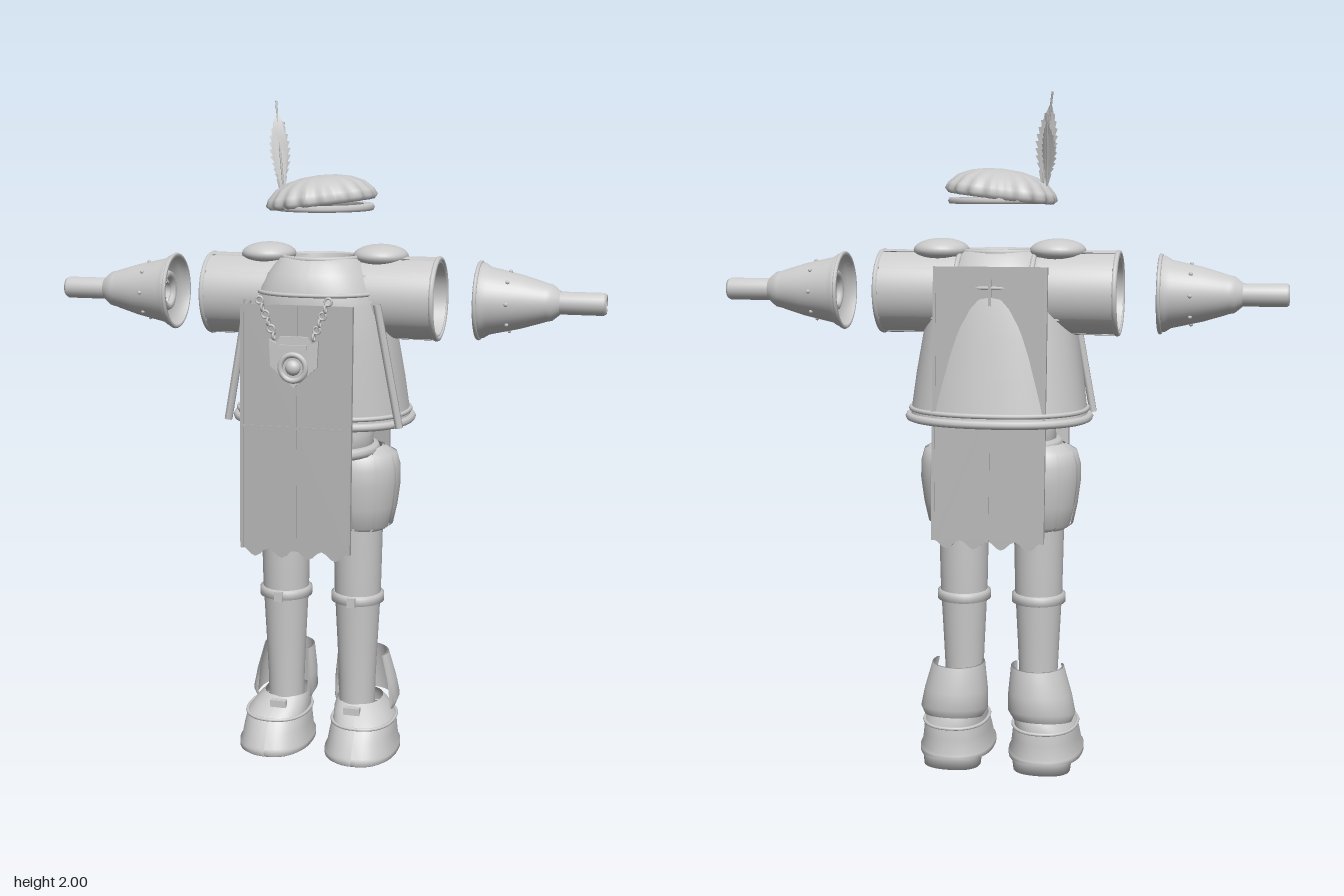
import * as THREE from 'three';

const cloth = new THREE.MeshStandardMaterial({ color: 0xcacaca, side: THREE.DoubleSide });
cloth.name = 'light grey';
const panel = new THREE.MeshStandardMaterial({ color: 0xb4b4b4, side: THREE.DoubleSide });
panel.name = 'mid grey';

const V = (x, y, z) => new THREE.Vector3(x, y, z);

function add(parent, name, geo, x = 0, y = 0, z = 0, mat = cloth) {
  const m = new THREE.Mesh(geo, mat);
  m.name = name;
  m.position.set(x, y, z);
  parent.add(m);
  return m;
}

function lathe(profile, seg = 40, start = 0, len = Math.PI * 2) {
  return new THREE.LatheGeometry(profile.map(p => new THREE.Vector2(p[0], p[1])), seg, start, len);
}

// Skin over elliptical rings: [y, centreZ, radiusX, radiusZ, centreX]
function loft(rings, n = 48, power = 2) {
  const pos = [], idx = [];
  const sq = v => Math.sign(v) * Math.abs(v) ** (2 / power);
  rings.forEach(([y, cz, rx, rz, cx = 0]) => {
    for (let i = 0; i <= n; i++) {
      const a = (i / n) * Math.PI * 2;
      pos.push(cx + rx * sq(Math.sin(a)), y, cz + rz * sq(Math.cos(a)));
    }
  });
  for (let r = 0; r < rings.length - 1; r++) {
    for (let i = 0; i < n; i++) {
      const a = r * (n + 1) + i, b = a + n + 1;
      idx.push(a, a + 1, b, a + 1, b + 1, b);
    }
  }
  const g = new THREE.BufferGeometry();
  g.setAttribute('position', new THREE.Float32BufferAttribute(pos, 3));
  g.setIndex(idx);
  g.computeVertexNormals();
  return g;
}

function ringTube(y, cz, rx, rz, r, power = 2) {
  const pts = [];
  const sq = v => Math.sign(v) * Math.abs(v) ** (2 / power);
  for (let i = 0; i < 40; i++) {
    const a = (i / 40) * Math.PI * 2;
    pts.push(V(rx * sq(Math.sin(a)), y, cz + rz * sq(Math.cos(a))));
  }
  return new THREE.TubeGeometry(new THREE.CatmullRomCurve3(pts, true), 80, r, 8, true);
}

// Raised strips around an axis, leaving narrow slits
function strips(parent, name, profile, count, gap) {
  const step = (Math.PI * 2) / count;
  for (let i = 0; i < count; i++) add(parent, name, lathe(profile, 5, i * step + gap / 2, step - gap));
}

function group(parent, name, x, y, z) {
  const g = new THREE.Group();
  g.name = name;
  g.position.set(x, y, z);
  parent.add(g);
  return g;
}

function addTorso(root) {
  add(root, 'tunic', loft([
    [1.07, -0.07, 0.262, 0.205], [1.2, -0.06, 0.245, 0.195], [1.32, -0.051, 0.225, 0.186],
    [1.42, -0.043, 0.2, 0.177], [1.47, -0.04, 0.18, 0.168], [1.51, -0.037, 0.155, 0.148],
    [1.54, -0.035, 0.13, 0.122], [1.555, -0.035, 0.113, 0.106], [1.555, -0.035, 0.1, 0.093],
    [1.48, -0.035, 0.1, 0.093]], 56, 2.3));
  add(root, 'hemTrim', ringTube(1.073, -0.07, 0.265, 0.207, 0.012, 2.3));
  add(root, 'hemTrimUpper', ringTube(1.097, -0.069, 0.26, 0.204, 0.007, 2.3));
  add(root, 'collarTrim', ringTube(1.552, -0.035, 0.112, 0.105, 0.008));
  add(root, 'yokeTrim', ringTube(1.455, -0.041, 0.187, 0.172, 0.006, 2.3));
  for (const s of [-1, 1]) {
    const path = new THREE.LineCurve3(V(s * 0.195, 1.43, 0.075), V(s * 0.262, 1.07, 0.065));
    add(root, 'sideTrim', new THREE.TubeGeometry(path, 1, 0.012, 6));
  }
  // Hips, belt and pouch
  add(root, 'hips', loft([[0.86, -0.05, 0.03, 0.04], [0.9, -0.05, 0.12, 0.09], [0.98, -0.02, 0.165, 0.135],
    [1.035, -0.025, 0.16, 0.14], [1.08, -0.025, 0.15, 0.135]]));
  add(root, 'belt', ringTube(0.985, -0.02, 0.165, 0.155, 0.017));
  const pouch = add(root, 'pouch', new THREE.BoxGeometry(0.09, 0.16, 0.06), -0.12, 0.92, 0.115);
  pouch.rotation.set(0.1, -0.7, 0);
  const flap = add(root, 'pouchFlap', new THREE.BoxGeometry(0.1, 0.06, 0.07), -0.12, 0.985, 0.118);
  flap.rotation.copy(pouch.rotation);
}

// Hanging panel with a wavy lower edge, seams and border
function addTabard(root, name, top, bottom, y0, z0, z1) {
  const h = top - bottom, w = 0.16;
  const g = group(root, name, 0, top, z0);
  g.rotation.x = Math.atan2(z0 - z1, h);
  const s = new THREE.Shape();
  s.moveTo(-w, 0);
  s.lineTo(-w, -h + 0.015);
  for (let i = 1; i <= 24; i++) {
    const x = -w + (2 * w * i) / 24;
    s.lineTo(x, -h + 0.013 * Math.cos((i / 24) * Math.PI * 8));
  }
  s.lineTo(w, 0);
  add(g, 'cloth', new THREE.ExtrudeGeometry(s, { depth: 0.008, bevelEnabled: false }), 0, 0, -0.004, panel);
  for (const x of [-w, 0, w]) add(g, 'seam', new THREE.BoxGeometry(0.009, h - 0.01, 0.014), x, -h / 2 + 0.005, 0, panel);
  add(g, 'crossSeam', new THREE.BoxGeometry(2 * w, 0.008, 0.014), 0, y0 - top, 0, panel);
}

function addArm(root, s) {
  const arm = group(root, s > 0 ? 'leftArm' : 'rightArm', 0, 1.435, -0.063);
  arm.rotation.z = -s * Math.PI / 2;
  // Open slashed sleeve
  add(arm, 'sleeve', lathe([[0.112, 0.1], [0.114, 0.35], [0.104, 0.35], [0.102, 0.12]]));
  strips(arm, 'sleevePanel', [[0.115, 0.11], [0.121, 0.13], [0.122, 0.34], [0.115, 0.345]], 10, 0.07);
  for (const y of [0.11, 0.347]) {
    add(arm, 'sleeveTrim', new THREE.TorusGeometry(0.117, 0.008, 8, 40), 0, y, 0).rotation.x = Math.PI / 2;
  }
  // Flared glove cuff with the hand tube
  add(arm, 'gloveCuff', lathe([[0.055, 0.5], [0.098, 0.49], [0.104, 0.465], [0.113, 0.465], [0.108, 0.485],
    [0.098, 0.5], [0.078, 0.59], [0.06, 0.65], [0.055, 0.665], [0.052, 0.68], [0.034, 0.702]]));
  add(arm, 'innerRing', new THREE.TorusGeometry(0.05, 0.012, 8, 32), 0, 0.5, 0).rotation.x = Math.PI / 2;
  add(arm, 'cuffTrim', new THREE.TorusGeometry(0.11, 0.006, 8, 40), 0, 0.47, 0).rotation.x = Math.PI / 2;
  for (let i = 0; i < 8; i++) {
    const a = (i / 8) * Math.PI * 2;
    add(arm, 'stud', new THREE.SphereGeometry(0.006, 8, 6), 0.086 * Math.sin(a), 0.557, 0.086 * Math.cos(a));
  }
  add(arm, 'handTube', lathe([[0.025, 0.5], [0.033, 0.7], [0.033, 0.825], [0.028, 0.833], [0.017, 0.833], [0.017, 0.8], [0, 0.8]], 24));
  // Shoulder cap
  add(root, 'shoulderCap', new THREE.SphereGeometry(1, 32, 16), s * 0.172, 1.556, -0.068).scale.set(0.082, 0.035, 0.083);
}

function addLeg(root, s) {
  const leg = group(root, s > 0 ? 'leftLeg' : 'rightLeg', s * 0.115, 0, -0.04);
  // Puffed breeches
  const puff = [[0.075, 0.735], [0.095, 0.75], [0.108, 0.81], [0.117, 0.88], [0.116, 0.93], [0.105, 0.97], [0.07, 0.99]];
  const breeches = group(leg, 'breeches', s * 0.005, 0, -0.01);
  add(breeches, 'lining', lathe(puff.map(([r, y]) => [r - 0.005, y])));
  strips(breeches, 'breechesPanel', puff.map(([r, y]) => [r + 0.004, y]), 10, 0.08);
  // Stocking and garter
  add(leg, 'stocking', lathe([[0.055, 0.13], [0.057, 0.25], [0.063, 0.38], [0.069, 0.5], [0.071, 0.53], [0.073, 0.62], [0.076, 0.76]]));
  add(leg, 'garter', lathe([[0.068, 0.5], [0.081, 0.504], [0.081, 0.528], [0.07, 0.532]]));
  add(leg, 'garterBuckle', new THREE.BoxGeometry(0.025, 0.03, 0.012), 0, 0.516, 0.082);
  // Boot: heel, sole, foot and instep
  const boot = group(root, s > 0 ? 'leftBoot' : 'rightBoot', s * 0.138, 0, -0.022);
  add(boot, 'heel', loft([[0, -0.09, 0, 0], [0, -0.09, 0.086, 0.065], [0.035, -0.09, 0.09, 0.065]], 40, 2.4));
  add(boot, 'foot', loft([[0.022, 0, 0, 0], [0.022, 0, 0.105, 0.148], [0.027, 0, 0.113, 0.155], [0.042, 0, 0.113, 0.155],
    [0.048, 0, 0.107, 0.15], [0.09, -0.008, 0.101, 0.139], [0.125, -0.02, 0.096, 0.125], [0.13, -0.02, 0.092, 0.122],
    [0.155, -0.035, 0.085, 0.105, -s * 0.01], [0.18, -0.045, 0.07, 0.08, -s * 0.02]], 48, 2.3));
  add(boot, 'footTrim', ringTube(0.126, -0.02, 0.097, 0.126, 0.005, 2.3));
  add(boot, 'buckle', new THREE.BoxGeometry(0.05, 0.022, 0.02), -s * 0.02, 0.167, 0.062);
  // Rear boot shaft, open at the front
  const shaft = lathe([[0.088, 0], [0.102, 0.03], [0.096, 0.09], [0.08, 0.18], [0.073, 0.18], [0.088, 0.09], [0.088, 0]], 32, Math.PI * 0.36, Math.PI * 1.28);
  const p = shaft.attributes.position;
  for (let i = 0; i < p.count; i++) {
    const lift = 1 - p.getY(i) / 0.18;
    p.setY(i, p.getY(i) + lift * (-0.2 * p.getZ(i) + 0.01));
    p.setX(i, p.getX(i) + s * 0.016 * lift);
  }
  shaft.computeVertexNormals();
  add(leg, 'bootShaft', shaft, s * 0.006, 0.138, -0.055);
}

function feather(parent, height, width, x, z, lean, turn) {
  const side = [], n = 9;
  for (let i = 0; i <= n; i++) {
    const t = i / n, w = width * Math.sin(Math.PI * Math.min(1, t * 0.85 + 0.12)) ** 0.8;
    const y = height * (0.12 + 0.68 * t);
    side.push([w, y + 0.012], [w * 0.72, y + 0.014]);
  }
  const pts = [[0.003, 0], ...side, [0, height]];
  const out = pts.concat(pts.slice(0, -1).reverse().map(([a, b]) => [-a, b]));
  const s = new THREE.Shape(out.map(([a, b]) => new THREE.Vector2(a, b)));
  const g = new THREE.ShapeGeometry(s), p = g.attributes.position;
  for (let i = 0; i < p.count; i++) p.setZ(i, -0.5 * p.getY(i) ** 2 + 0.25 * Math.abs(p.getX(i)));
  g.computeVertexNormals();
  const m = add(parent, 'feather', g, x, 1.74, z);
  m.rotation.set(-lean, turn, 0.1);
  const quill = new THREE.QuadraticBezierCurve3(V(0, 0, 0), V(0, height / 2, 0), V(0, height, -0.5 * height ** 2));
  add(m, 'quill', new THREE.TubeGeometry(quill, 12, 0.003, 6));
}

function addHat(root) {
  const hat = group(root, 'hat', 0, 0, 0);
  // Scalloped crown, dipping to one side
  const dome = lathe([[0.105, -0.004], [0.15, -0.01], [0.16, 0.002], [0.153, 0.02], [0.13, 0.045], [0.095, 0.062], [0.05, 0.072], [0.0001, 0.075]], 128);
  const p = dome.attributes.position;
  for (let i = 0; i < p.count; i++) {
    const x = p.getX(i), z = p.getZ(i), k = 1 + 0.035 * Math.cos(18 * Math.atan2(x, z)) * (Math.hypot(x, z) / 0.16) ** 3;
    p.setXYZ(i, x * k, p.getY(i), z * k * 1.05);
  }
  dome.computeVertexNormals();
  add(hat, 'crown', dome, 0, 1.715, -0.037).rotation.z = 0.12;
  add(hat, 'band', lathe([[0.115, 1.708], [0.115, 1.692], [0.143, 1.69], [0.147, 1.698], [0.143, 1.708], [0.115, 1.708]], 64), 0.008, 0, -0.037).scale.z = 1.1;
  feather(hat, 0.265, 0.032, -0.125, -0.065, 0.05, 0.25);
  feather(hat, 0.21, 0.028, -0.14, -0.08, 0.18, -0.5);
}

function addMedallion(root) {
  const g = group(root, 'medallion', 0, 0, 0.25);
  // Pointed plaque
  const s = new THREE.Shape([[-0.068, 1.27], [-0.072, 1.345], [-0.05, 1.335], [-0.04, 1.355], [0.04, 1.355], [0.05, 1.335],
    [0.072, 1.345], [0.068, 1.27], [0, 1.21]].map(([x, y]) => new THREE.Vector2(x, y)));
  add(g, 'plaque', new THREE.ExtrudeGeometry(s, { depth: 0.01, bevelEnabled: false }));
  add(g, 'medalRing', new THREE.TorusGeometry(0.037, 0.008, 8, 32), 0, 1.268, 0.016);
  add(g, 'medalCentre', new THREE.SphereGeometry(0.022, 20, 12), 0, 1.268, 0.016).scale.z = 0.8;
  add(g, 'plaqueBar', new THREE.BoxGeometry(0.08, 0.014, 0.012), 0, 1.325, 0.012);
  // Chain links on each side, and beads behind the neck panel
  for (const s of [-1, 1]) {
    for (let i = 0; i < 6; i++) {
      const t = i / 5;
      const link = add(g, 'chainLink', new THREE.TorusGeometry(0.01, 0.0035, 6, 14), s * (0.1 - 0.042 * t), 1.455 - 0.1 * t, 0.006);
      link.rotation.y = i % 2 ? Math.PI / 2 : 0;
    }
    add(g, 'hook', new THREE.BoxGeometry(0.04, 0.014, 0.012), s * 0.125, 1.42, -0.035);
  }
  for (let i = -2; i <= 2; i++) {
    add(g, 'neckLink', new THREE.TorusGeometry(0.008, 0.003, 6, 14), i * 0.052, 1.42, -0.052).rotation.x = Math.PI / 2;
  }
}

export function createModel() {
  const root = new THREE.Group();
  root.name = 'costumedFigure';
  addTorso(root);
  addTabard(root, 'frontTabard', 1.44, 0.72, 1.09, 0.228, 0.25);
  addTabard(root, 'backTabard', 1.515, 0.72, 1.09, -0.208, -0.262);
  for (const s of [-1, 1]) {
    addArm(root, s);
    addLeg(root, s);
  }
  addHat(root);
  addMedallion(root);
  return root;
}
